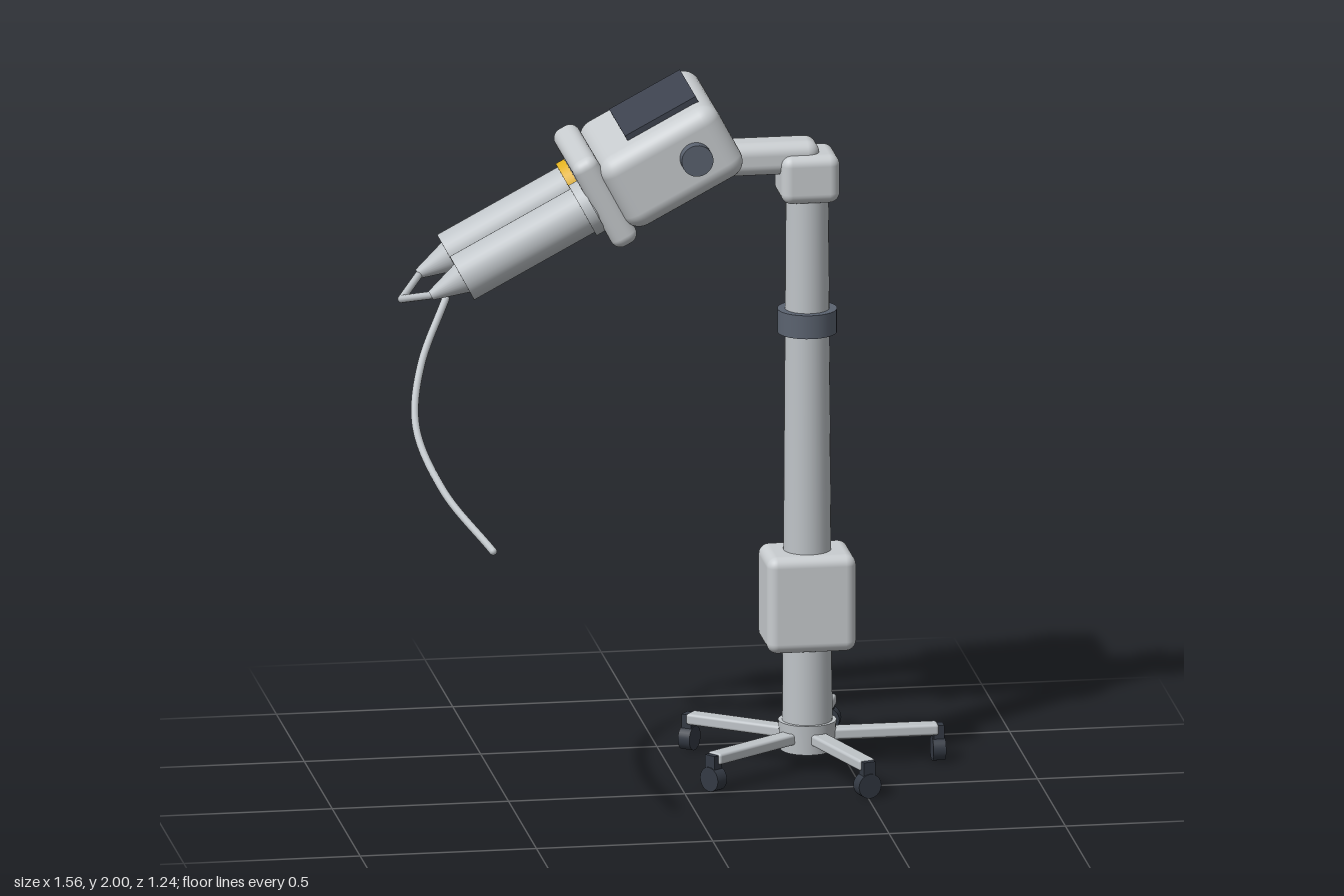
import * as THREE from 'three';
import { RoundedBoxGeometry } from 'three/addons/geometries/RoundedBoxGeometry.js';

const mat = (name, color) => Object.assign(new THREE.MeshStandardMaterial({ color }), { name });

export function createModel() {
  const shell = mat('light grey shell', 0xc9cdd0);
  const metal = mat('grey metal', 0xbfc4c8);
  const slate = mat('slate grey', 0x5b6370);
  const rubber = mat('dark rubber', 0x343a44);
  const glass = mat('dark screen', 0x3d434f);
  const yellow = mat('yellow ring', 0xe0b020);

  const model = new THREE.Group();
  model.name = 'injectorOnStand';

  const add = (parent, name, geometry, material, x = 0, y = 0, z = 0) => {
    const mesh = new THREE.Mesh(geometry, material);
    mesh.name = name;
    mesh.position.set(x, y, z);
    parent.add(mesh);
    return mesh;
  };
  const rounded = (w, h, d, r) => new RoundedBoxGeometry(w, h, d, 4, r);
  const cyl = (top, bottom, h) => new THREE.CylinderGeometry(top, bottom, h, 32);

  // Stand, centred on the column axis
  const stand = new THREE.Group();
  stand.name = 'stand';
  stand.position.set(0.385, 0, -0.24);
  model.add(stand);
  add(stand, 'hub', cyl(0.082, 0.076, 0.085), metal, 0, 0.0925);
  add(stand, 'column', cyl(0.06, 0.071, 1.58), metal, 0, 0.88);
  add(stand, 'powerBox', rounded(0.253, 0.28, 0.2, 0.03), shell, 0, 0.49);
  add(stand, 'collar', cyl(0.084, 0.084, 0.068), slate, 0, 1.296);
  add(stand, 'headBlock', rounded(0.166, 0.14, 0.166, 0.03), shell, 0, 1.72);
  add(stand, 'arm', rounded(0.4, 0.095, 0.115, 0.035), shell, -0.17, 1.777);
  add(stand, 'lockKnob', cyl(0.04, 0.04, 0.04), slate, 0, 1.715, -0.097).rotation.x = Math.PI / 2;

  // Five legs with casters
  for (let i = 0; i < 5; i++) {
    const leg = new THREE.Group();
    leg.name = 'leg' + (i + 1);
    leg.rotation.y = (i * Math.PI * 2) / 5;
    stand.add(leg);
    add(leg, 'legBar', rounded(0.32, 0.032, 0.05, 0.008), metal, 0.21, 0.093);
    add(leg, 'casterFork', new THREE.BoxGeometry(0.03, 0.055, 0.036), rubber, 0.371, 0.077);
    add(leg, 'casterWheel', cyl(0.035, 0.035, 0.036), rubber, 0.371, 0.035).rotation.z = Math.PI / 2;
  }

  // Tilted injector head
  const head = new THREE.Group();
  head.name = 'injectorHead';
  head.position.set(-0.024, 1.812, -0.243);
  head.rotation.z = THREE.MathUtils.degToRad(28);
  model.add(head);
  add(head, 'headBody', rounded(0.375, 0.23, 0.454, 0.05), shell, -0.005);
  add(head, 'facePlate', rounded(0.078, 0.285, 0.393, 0.03), shell, -0.217);
  add(head, 'screen', new THREE.BoxGeometry(0.227, 0.018, 0.285), glass, 0.036, 0.122);

  const along = (name, geometry, material, x, z) => {
    add(head, name, geometry, material, x, -0.008, z).rotation.z = Math.PI / 2;
  };
  for (const s of [1, -1]) {
    const side = s > 0 ? 'left' : 'right';
    add(head, side + 'SideKnob', cyl(0.045, 0.045, 0.04), slate, 0.065, 0, s * 0.241).rotation.x = Math.PI / 2;
    along(side + 'Syringe', cyl(0.07, 0.07, 0.44), metal, -0.45, s * 0.115);
    along(side + 'SyringeRing', cyl(0.081, 0.081, 0.03), s > 0 ? metal : yellow, -0.268, s * 0.115);
    along(side + 'Nozzle', cyl(0.014, 0.045, 0.1), metal, -0.72, s * 0.115);
  }

  // Connecting tubing and patient hose
  const tube = (name, points, segments, radius) => {
    const curve = new THREE.CatmullRomCurve3(points.map((p) => new THREE.Vector3(...p)));
    add(model, name, new THREE.TubeGeometry(curve, segments, radius, 12), metal);
    for (const p of [points[0], points[points.length - 1]])
      add(model, name + 'End', new THREE.SphereGeometry(radius, 12, 8), metal, ...p);
  };
  for (const s of [1, -1])
    tube(s > 0 ? 'leftBranchTube' : 'rightBranchTube',
      [[-0.695, 1.445, -0.243 + s * 0.115], [-0.765, 1.405, -0.243]], 4, 0.011);
  tube('hose', [[-0.64, 1.4, -0.243], [-0.728, 1.25, -0.12], [-0.77, 1.12, 0.04],
    [-0.735, 1.0, 0.31], [-0.64, 0.9, 0.61]], 48, 0.011);

  return model;
}
